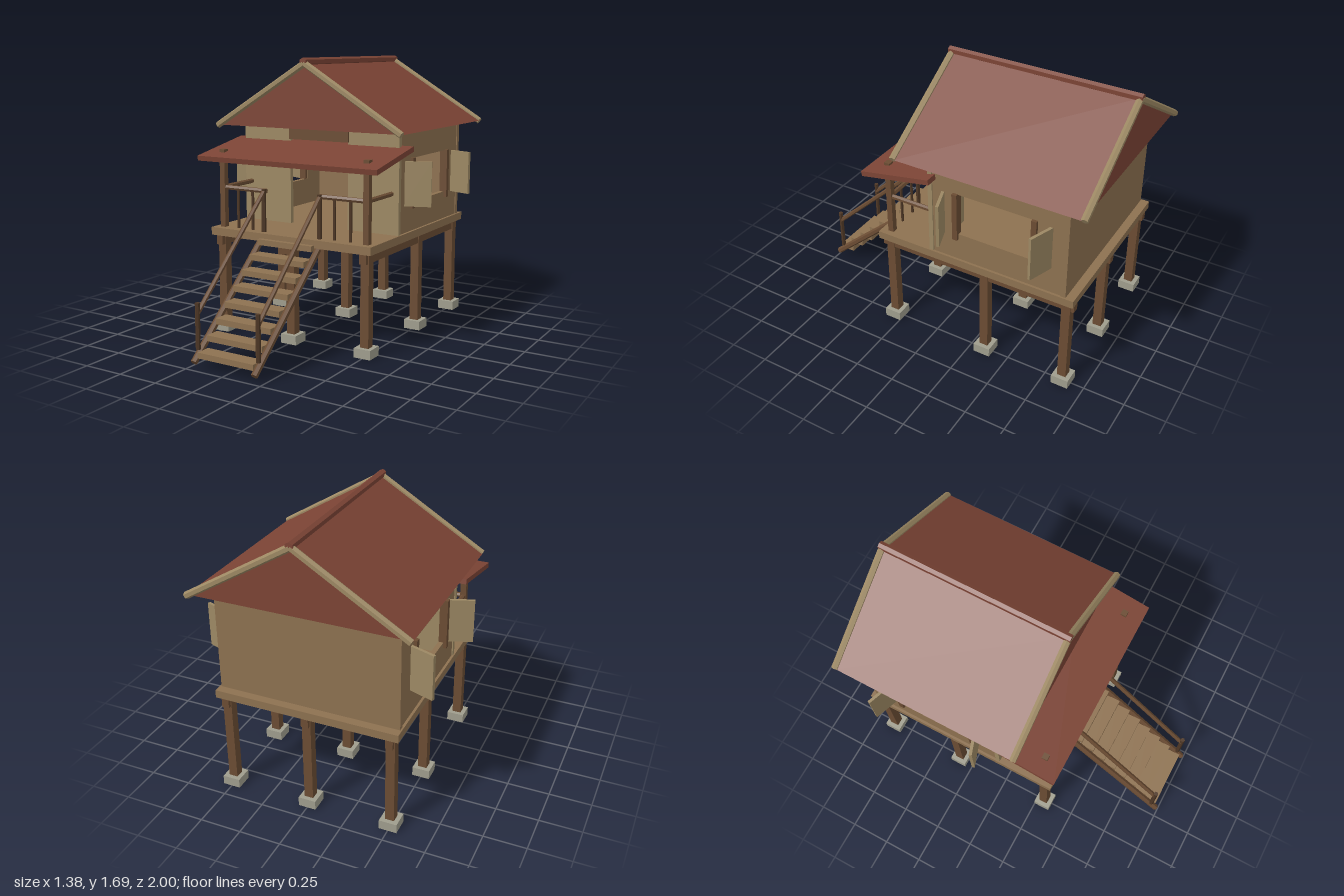
import * as THREE from 'three';

const mat = (color) => new THREE.MeshStandardMaterial({ color, flatShading: true });

export function createModel() {
  const model = new THREE.Group();
  const timber = mat(0x6b4c33), darkTimber = mat(0x4f3826), plank = mat(0x8d7150);
  const panel = mat(0x9c8863), tile = mat(0x7c4435), stone = mat(0x9f9d8d);

  const add = (name, geometry, material, x = 0, y = 0, z = 0) => {
    const mesh = new THREE.Mesh(geometry, material);
    mesh.name = name;
    mesh.position.set(x, y, z);
    model.add(mesh);
    return mesh;
  };
  // Box given by its minimum and maximum corners
  const block = (name, material, x0, x1, y0, y1, z0, z1) =>
    add(name, new THREE.BoxGeometry(x1 - x0, y1 - y0, z1 - z0), material,
      (x0 + x1) / 2, (y0 + y1) / 2, (z0 + z1) / 2);
  // Six-sided pole between two points
  const pole = (name, material, a, b, r, twist = 0) => {
    const from = new THREE.Vector3(...a), to = new THREE.Vector3(...b);
    const dir = to.clone().sub(from), mid = from.clone().add(to).multiplyScalar(0.5);
    const geometry = new THREE.CylinderGeometry(r, r, dir.length(), 6).rotateY(twist);
    const mesh = add(name, geometry, material, mid.x, mid.y, mid.z);
    mesh.quaternion.setFromUnitVectors(new THREE.Vector3(0, 1, 0), dir.normalize());
    return mesh;
  };

  // Stilts on footings, with floor beams and deck
  for (const x of [-0.5, 0, 0.5]) {
    for (const z of [0.3, -0.345, -0.865]) {
      block('footing', stone, x - 0.053, x + 0.053, 0, 0.056, z - 0.053, z + 0.053);
      block('stilt', timber, x - 0.027, x + 0.027, 0.05, 0.6, z - 0.027, z + 0.027);
    }
    block('floorBeam', timber, x - 0.022, x + 0.022, 0.55, 0.61, -0.912, 0.355);
  }
  block('deck', plank, -0.555, 0.555, 0.608, 0.656, -0.918, 0.362);

  // Back wall, front wall panels and door lintel
  block('backWall', plank, -0.545, 0.545, 0.65, 1.25, -0.867, -0.835);
  block('doorLintel', timber, -0.21, 0.21, 1.187, 1.255, -0.025, 0.014);

  // Side wall with window opening
  const wall = new THREE.Shape([[0, 0.65], [0.835, 0.65], [0.835, 1.25], [0, 1.25]]
    .map((p) => new THREE.Vector2(...p)));
  wall.holes.push(new THREE.Path([[0.17, 0.83], [0.17, 1.097], [0.67, 1.097], [0.67, 0.83]]
    .map((p) => new THREE.Vector2(...p))));
  const wallGeometry = new THREE.ExtrudeGeometry(wall, { depth: 0.03, bevelEnabled: false })
    .rotateY(Math.PI / 2).translate(-0.015, 0, 0);

  for (const s of [-1, 1]) {
    add('sideWall', wallGeometry, plank, s * 0.525);
    const front = [s * 0.205, s * 0.547].sort((a, b) => a - b);
    block('frontWall', panel, front[0], front[1], 0.65, 1.25, -0.022, 0.006);

    // Window posts and open shutters
    for (const z of [-0.173, -0.665]) {
      block('windowPost', timber, s * 0.535 - 0.024, s * 0.535 + 0.024, 0.795, 1.1, z - 0.016, z + 0.016);
    }
    for (const [z, turn] of [[-0.115, 0.34], [-0.737, -0.34]]) {
      add('shutter', new THREE.BoxGeometry(0.165, 0.268, 0.018), panel, s * 0.609, 0.953, z).rotation.y = turn;
    }

    // Porch post and railing
    block('porchPost', timber, s * 0.5 - 0.018, s * 0.5 + 0.018, 0.65, 1.135, 0.282, 0.318);
    pole('sideRail', timber, [s * 0.5, 0.902, 0], [s * 0.5, 0.902, 0.3], 0.015);
    pole('frontRail', timber, [s * 0.505, 0.902, 0.3], [s * 0.185, 0.902, 0.3], 0.015);
    for (const x of [0.286, 0.393]) {
      pole('baluster', darkTimber, [s * x, 0.65, 0.3], [s * x, 0.9, 0.3], 0.009);
    }
    pole('topNewel', darkTimber, [s * 0.195, 0.65, 0.315], [s * 0.195, 0.915, 0.315], 0.014);

    // Stair stringer, handrail and lower newel
    pole('stairStringer', timber, [s * 0.203, 0.04, 0.985], [s * 0.203, 0.6, 0.345], 0.02);
    pole('stairHandrail', timber, [s * 0.203, 0.31, 0.945], [s * 0.195, 0.9, 0.315], 0.014);
    pole('lowerNewel', darkTimber, [s * 0.203, 0.105, 0.945], [s * 0.203, 0.37, 0.945], 0.014);

    // Gable trim along both roof ends
    for (const z of [0.168, -0.981]) {
      pole('gableTrim', panel, [0, 1.655, z], [s * 0.64, 1.266, z], 0.021, Math.PI / 6);
    }
  }

  // Stair treads
  for (let i = 0; i < 8; i++) {
    const y = 0.08 + i * 0.0755, z = 0.925 - i * 0.0825;
    block('stairTread', plank, -0.187, 0.187, y - 0.017, y + 0.017, z - 0.046, z + 0.046);
  }

  // Sloping porch roof
  add('porchRoof', new THREE.BoxGeometry(1.23, 0.031, 0.46), tile, 0, 1.126, 0.183).rotation.x = 0.186;

  // Main roof and ridge
  const gable = new THREE.Shape([[-0.643, 1.267], [0.643, 1.267], [0, 1.655]]
    .map((p) => new THREE.Vector2(...p)));
  add('mainRoof', new THREE.ExtrudeGeometry(gable, { depth: 1.13, bevelEnabled: false }), tile, 0, 0, -0.972);
  pole('roofRidge', tile, [0, 1.664, -0.998], [0, 1.664, 0.186], 0.024);

  return model;
}
